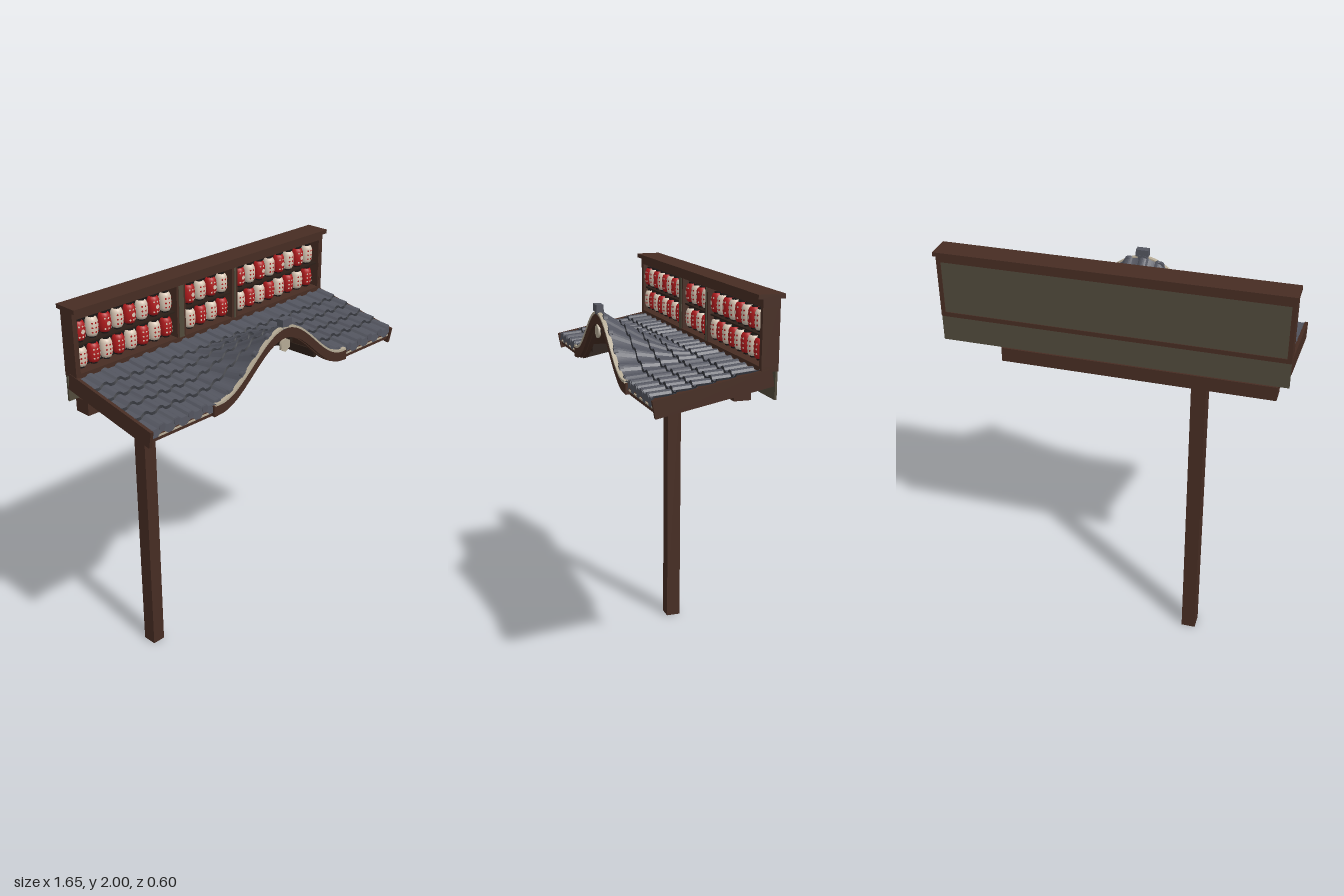
import * as THREE from 'three';

const mat = (name, color, side = THREE.FrontSide) => {
  const m = new THREE.MeshStandardMaterial({ color, side });
  m.name = name;
  return m;
};

export function createModel() {
  const root = new THREE.Group();
  root.name = 'lanternSign';
  const D = THREE.DoubleSide;
  const wood = mat('brown wood', 0x472d23, D);
  const darkWood = mat('dark wood', 0x2b1e17, D);
  const tile = mat('slate tile', 0x53555f, D);
  const tileGap = mat('tile shadow gap', 0x303238, D);
  const olive = mat('olive panel', 0x514a3b);
  const cream = mat('cream trim', 0xb5aa95, D);
  const red = mat('red paper', 0xb01a1c);
  const white = mat('white paper', 0xd8c6b4);
  const black = mat('black', 0x1a1514);

  const add = (name, geo, m, parent = root) => {
    const mesh = new THREE.Mesh(geo, m);
    mesh.name = name;
    parent.add(mesh);
    return mesh;
  };
  // Box given by its limits on each axis
  const box = (name, m, x0, x1, y0, y1, z0, z1, parent = root) => {
    const mesh = add(name, new THREE.BoxGeometry(x1 - x0, y1 - y0, z1 - z0), m, parent);
    mesh.position.set((x0 + x1) / 2, (y0 + y1) / 2, (z0 + z1) / 2);
    return mesh;
  };
  // Faceted grid surface from a function f(u, v) -> [x, y, z]
  const sheet = (nu, nv, f) => {
    const pos = [];
    for (let i = 0; i < nu; i++) for (let j = 0; j < nv; j++) {
      const a = f(i / nu, j / nv), b = f((i + 1) / nu, j / nv);
      const c = f((i + 1) / nu, (j + 1) / nv), d = f(i / nu, (j + 1) / nv);
      pos.push(...a, ...d, ...c, ...a, ...c, ...b);
    }
    const g = new THREE.BufferGeometry();
    g.setAttribute('position', new THREE.Float32BufferAttribute(pos, 3));
    g.computeVertexNormals();
    return g;
  };
  const lerp = THREE.MathUtils.lerp;

  // Roof height: sloping plane plus a bell-shaped gable fading to the back
  const base = z => 1.575 + (0.275 - z) * 0.19;
  const bell = x => Math.abs(x) < 0.42 ? 0.5 * (1 + Math.cos(Math.PI * x / 0.42)) : 0;
  const roofY = (x, z) =>
    base(z) + 0.242 * bell(x) * Math.pow(Math.max(0, (z + 0.1) / 0.38), 1.2);

  // Post, beam and lamp rail
  box('post', wood, -0.45, -0.38, 0, 1.476, -0.278, -0.203);
  box('beam', wood, -0.77, 0.53, 1.476, 1.545, -0.285, -0.2);
  box('lampRail', black, -0.69, -0.35, 1.482, 1.494, -0.116, -0.104);
  for (const x of [-0.64, -0.4]) box('lampArm', black, x - 0.005, x + 0.005, 1.483, 1.493, -0.2, -0.11);

  // Lantern case
  const W = 0.82;
  box('cap', wood, -0.825, 0.825, 1.98, 2, -0.3, -0.176);
  box('header', wood, -W, W, 1.945, 1.98, -0.28, -0.2);
  box('sill', wood, -W, W, 1.67, 1.692, -0.28, -0.2);
  for (const s of [-1, 1]) {
    box('caseSide', wood, s * 0.81 - 0.01, s * 0.81 + 0.01, 1.67, 1.98, -0.28, -0.2);
    box('frontStile', wood, s * 0.8 - 0.006, s * 0.8 + 0.006, 1.69, 1.95, -0.215, -0.201);
  }
  box('caseBacking', black, -0.8, 0.8, 1.69, 1.945, -0.27, -0.265);
  box('shelf', darkWood, -0.8, 0.8, 1.814, 1.821, -0.265, -0.215);
  for (const [x, w] of [[-0.187, 0.027], [0.17, 0.018]]) {
    box('divider', wood, x - w, x + w, 1.69, 1.945, -0.265, -0.202);
    box('dividerFace', olive, x - w + 0.012, x + w - 0.012, 1.69, 1.945, -0.202, -0.199);
  }

  // Back panels
  box('backPanel', olive, -0.805, 0.805, 1.69, 1.95, -0.276, -0.271);
  box('lowerBackPanel', olive, -W, W, 1.545, 1.672, -0.276, -0.266);

  // Lanterns, two rows in three bays, alternating red and white
  const body = new THREE.LatheGeometry([[0.014, -0.046], [0.023, -0.042], [0.029, -0.028], [0.031, 0],
    [0.029, 0.028], [0.023, 0.042], [0.014, 0.046]].map(p => new THREE.Vector2(...p)), 14);
  const ring = new THREE.CylinderGeometry(0.016, 0.016, 0.008, 10);
  const disc = new THREE.CircleGeometry(0.011, 8);
  const dot = new THREE.CircleGeometry(0.0048, 6);
  const lantern = (x, y, isRed, dotted) => {
    const g = new THREE.Group();
    g.name = 'lantern';
    g.position.set(x, y, -0.233);
    root.add(g);
    add('lanternPaper', body, isRed ? red : white, g);
    for (const s of [-1, 1]) add('lanternRing', ring, black, g).position.y = s * 0.048;
    const ink = isRed ? white : red;
    if (!dotted) add('lanternEmblem', disc, ink, g).position.z = 0.032;
    const n = dotted ? 3 : 2;
    for (let r = 0; r < n; r++) for (const a of [-0.55, 0, 0.55]) {
      const dy = dotted ? (r - 1) * 0.021 : (r - 0.5) * 0.048;
      const d = add('lanternSpot', dot, ink, g);
      const rad = Math.abs(dy) > 0.015 ? 0.031 : 0.0325;
      d.position.set(Math.sin(a) * rad, dy, Math.cos(a) * rad);
      d.rotation.y = a;
    }
  };
  for (const [x0, n] of [[-0.765, 8], [-0.11, 4], [0.23, 8]])
    for (let i = 0; i < n; i++) {
      lantern(x0 + i * 0.072, 1.88, i % 2 === 0, i % 2 === 1);
      lantern(x0 + i * 0.072, 1.757, i % 2 === 1, true);
    }

  // Tiled courses: half-round ribs with a raised lower edge
  const pitch = 0.082, shift = -0.01;
  const rib = x => {
    const d = (x - shift) / pitch;
    const t = Math.abs(d - Math.round(d)) / 0.26;
    return t < 1 ? 0.014 * Math.sqrt(1 - t * t) : -0.003 * Math.sin((t - 1) * 1.7);
  };
  const zs = [-0.21, -0.095, -0.005, 0.083, 0.172, 0.275];
  const xAt = u => lerp(-0.808, 0.808, u);
  for (let k = 0; k < 5; k++) {
    const [z0, z1] = [zs[k], zs[k + 1]];
    add('tileCourse', sheet(200, 3, (u, v) => {
      const x = xAt(u), z = lerp(z0, z1, v);
      return [x, roofY(x, z) + rib(x) + 0.012 * v, z];
    }), tile);
    add('courseEdge', sheet(200, 1, (u, v) => {
      const x = xAt(u), z = z1 + 0.004 * v;
      return [x, roofY(x, z) + rib(x) + 0.012 * (1 - v) - (k === 4 ? 0.025 * v : 0), z];
    }), k === 4 ? tile : tileGap);
  }
  // Round tile ends along the eave
  const end = new THREE.CylinderGeometry(0.017, 0.017, 0.02, 10).rotateX(Math.PI / 2);
  for (let k = -9; k <= 9; k++) {
    const x = k * pitch + shift;
    add('tileEnd', end, tile).position.set(x, roofY(x, 0.275) + 0.008, 0.27);
  }

  // Roof underside and eave fascia
  add('roofUnderside', sheet(80, 10, (u, v) => {
    const x = xAt(u), z = lerp(-0.265, 0.27, v);
    return [x, roofY(x, z) - 0.025, z];
  }), wood);
  // Strip following the roof edge, with a rectangular section
  const edgeStrip = (name, m, half, top, bottom, z0, z1) =>
    add(name, sheet(60, 4, (u, v) => {
      const x = lerp(-half, half, u), c = Math.round(v * 4) % 4;
      return [x, roofY(x, 0.275) + (c === 0 || c === 3 ? top : bottom), c < 2 ? z1 : z0];
    }), m);
  edgeStrip('eaveTrim', cream, 0.805, -0.025, -0.032, 0.255, 0.274);
  edgeStrip('eaveFascia', wood, 0.805, -0.032, -0.05, 0.245, 0.268);
  edgeStrip('gableBoard', wood, 0.445, 0.003, -0.046, 0.27, 0.288);
  edgeStrip('gableTrim', cream, 0.445, 0.014, 0.003, 0.272, 0.292);
  for (const s of [-1, 1]) box('gableBoardEnd', wood, s * 0.44 - 0.012, s * 0.44 + 0.012, 1.527, 1.578, 0.262, 0.288);

  // Rafters following the underside
  for (let i = 0; i < 10; i++) {
    const xc = (i - 4.5) * 0.1755;
    add('rafter', sheet(14, 4, (u, v) => {
      const z = lerp(-0.26, 0.245, u), c = Math.round(v * 4) % 4;
      return [xc + (c < 2 ? 0.01 : -0.01), roofY(xc, z) - (c === 0 || c === 3 ? 0.024 : 0.064), z];
    }), darkWood);
    box('rafterEnd', darkWood, xc - 0.01, xc + 0.01, roofY(xc, 0.245) - 0.064, roofY(xc, 0.245) - 0.026, 0.241, 0.246);
  }

  // Sloping boards at both roof ends
  for (const s of [-1, 1]) {
    const b = add('bargeBoard', new THREE.BoxGeometry(0.016, 0.08, 0.545), wood);
    b.position.set(s * 0.814, base(0.012) - 0.03, 0.012);
    b.rotation.x = Math.atan(0.19);
  }

  // Gable pendant and ridge-end tile
  const pendant = add('gablePendant', new THREE.CylinderGeometry(0.034, 0.034, 0.012, 6).rotateX(Math.PI / 2), cream);
  pendant.position.set(0, 1.735, 0.286);
  box('ridgeEndNeck', tile, -0.02, 0.02, 1.815, 1.835, 0.262, 0.292);
  box('ridgeEndTile', tile, -0.031, 0.031, 1.83, 1.864, 0.264, 0.3);

  return root;
}
